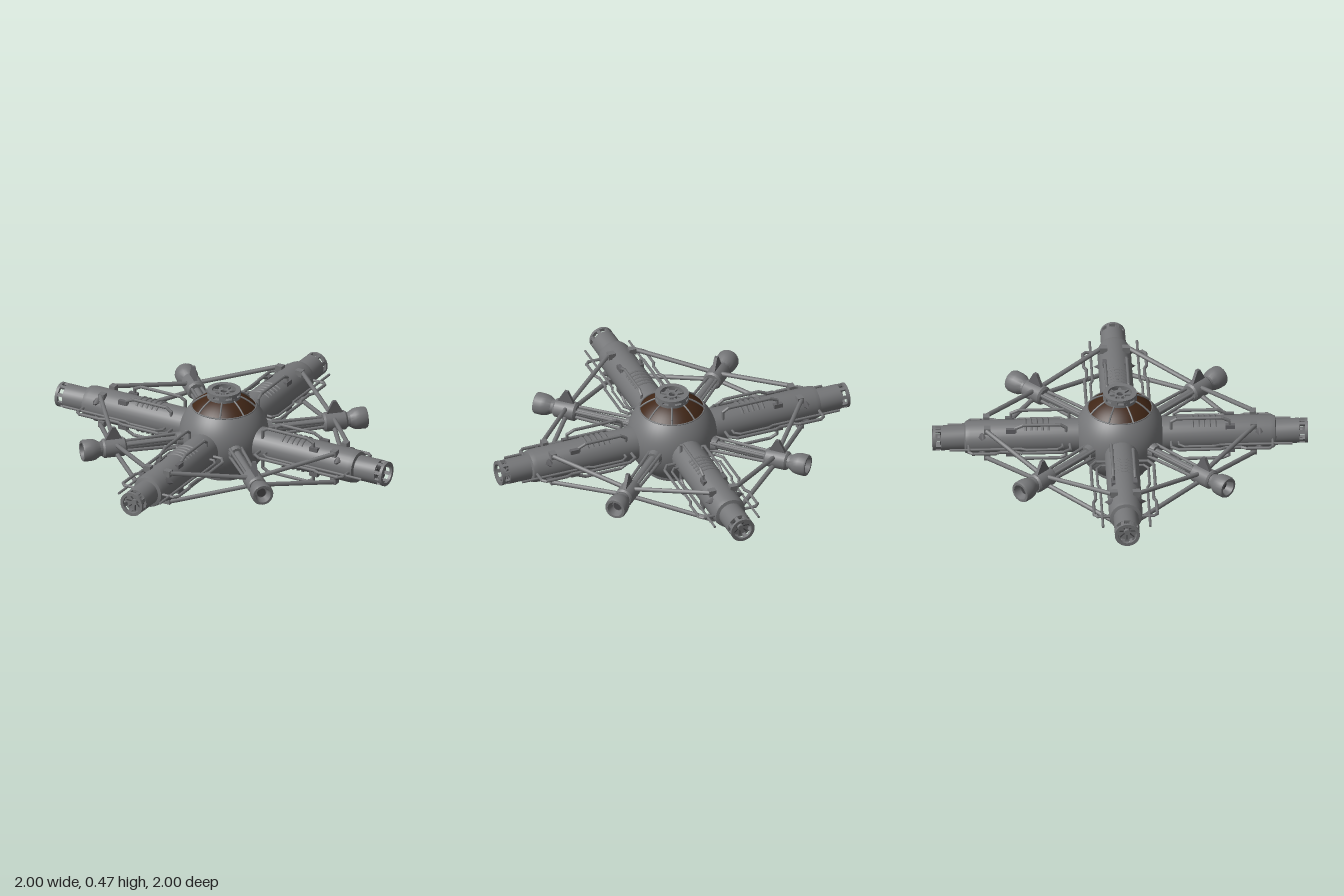
import * as THREE from 'three';
import { mergeGeometries, toCreasedNormals } from 'three/addons/utils/BufferGeometryUtils.js';

const hull = new THREE.MeshStandardMaterial({ color: 0x757678 });
hull.name = 'hull grey';
const trim = new THREE.MeshStandardMaterial({ color: 0x666669 });
trim.name = 'trim grey';
const dark = new THREE.MeshStandardMaterial({ color: 0x464648 });
dark.name = 'dark recess';
const glass = new THREE.MeshStandardMaterial({ color: 0x402616 });
glass.name = 'brown glass';

const CY = 0.21; // height of the arm axes
const R = 0.24; // hull radius

function add(parent, name, geo, mat, pos = [0, 0, 0], rot = [0, 0, 0]) {
  const m = new THREE.Mesh(geo, mat);
  m.name = name;
  m.position.set(...pos);
  m.rotation.set(...rot);
  parent.add(m);
  return m;
}

// Turned part around y; alongX lays it along +x
function lathe(points, seg = 32, alongX = false) {
  const g = new THREE.LatheGeometry(points.map(p => new THREE.Vector2(...p)), seg);
  if (alongX) g.rotateZ(-Math.PI / 2);
  return toCreasedNormals(g, 0.5);
}

function rod(a, b, r, sides = 6) {
  const A = new THREE.Vector3(...a), B = new THREE.Vector3(...b), d = B.clone().sub(A);
  const g = new THREE.CylinderGeometry(r, r, d.length() + r, sides);
  g.applyQuaternion(new THREE.Quaternion().setFromUnitVectors(new THREE.Vector3(0, 1, 0), d.normalize()));
  return g.translate(...A.add(B).multiplyScalar(0.5).toArray());
}

function pipe(points, r) {
  return mergeGeometries(points.slice(1).map((p, i) => rod(points[i], p, r)));
}

// Copies a geometry n times around an axis
function ring(geo, n, axis = 'Y', offset = 0) {
  return mergeGeometries(Array.from({ length: n }, (_, i) =>
    geo.clone()['rotate' + axis](offset + i / n * Math.PI * 2)));
}

function makeHull() {
  const g = new THREE.Group();
  g.name = 'centralHull';
  const cut = 0.8, low = 2.52;
  add(g, 'sphereShell', new THREE.SphereGeometry(R, 48, 28, 0, Math.PI * 2, cut, low - cut), hull, [0, 0.003, 0]);
  add(g, 'domeWindow', new THREE.SphereGeometry(R - 0.004, 48, 10, 0, Math.PI * 2, 0, cut + 0.02), glass, [0, 0.003, 0]);
  add(g, 'windowRim', new THREE.TorusGeometry(R * Math.sin(cut), 0.004, 6, 48), hull,
    [0, 0.003 + R * Math.cos(cut), 0], [Math.PI / 2, 0, 0]);
  // Window bars follow the dome
  const bar = pipe([0.36, 0.46, 0.57, 0.68, 0.8].map(t => [Math.sin(t) * R, Math.cos(t) * R + 0.003, 0]), 0.005);
  add(g, 'windowBars', ring(bar, 8, 'Y', Math.PI / 8), hull);

  // Docking collar on top: base, posts and an open ring
  add(g, 'collarBase', lathe([[0.09, 0.21], [0.09, 0.238], [0, 0.238]]), hull);
  add(g, 'collarPosts', ring(new THREE.BoxGeometry(0.024, 0.018, 0.034).translate(0.077, 0.245, 0), 8, 'Y', Math.PI / 8), hull);
  add(g, 'collarRing', lathe([[0.064, 0.25], [0.09, 0.25], [0.09, 0.264], [0.064, 0.264], [0.064, 0.25]]), hull);
  add(g, 'collarSpokes', ring(new THREE.BoxGeometry(0.045, 0.01, 0.008).translate(0.045, 0.247, 0), 8), hull);
  add(g, 'collarHub', lathe([[0.03, 0.236], [0.03, 0.254], [0.018, 0.254], [0.018, 0.244], [0, 0.244]], 20), hull);
  add(g, 'collarHole', new THREE.CylinderGeometry(0.016, 0.016, 0.004, 20), dark, [0, 0.245, 0]);

  // Vent underneath
  add(g, 'bottomRim', lathe([[0.112, -0.17], [0.118, -0.21], [0.138, -0.21], [0.142, -0.196], [0.142, -0.185], [0.13, -0.175]]), hull);
  add(g, 'ventFloor', new THREE.CylinderGeometry(0.125, 0.125, 0.01, 32), dark, [0, -0.185, 0]);
  add(g, 'ventBlades', ring(new THREE.BoxGeometry(0.09, 0.018, 0.008).rotateX(0.4).translate(0.078, -0.195, 0), 20), hull);
  add(g, 'ventHub', new THREE.CylinderGeometry(0.036, 0.028, 0.02, 20), hull, [0, -0.197, 0]);
  return g;
}

// Long docking arm along +x
function makeArm() {
  const g = new THREE.Group();
  g.name = 'dockingArm';
  add(g, 'armTube', lathe([[0.09, 0.2], [0.09, 0.8], [0.084, 0.825], [0.067, 0.83], [0.067, 0.955], [0, 0.955]], 28, true), hull);

  // Open slotted port at the tip
  add(g, 'portRing', lathe([[0.05, 0.984], [0.067, 0.984], [0.067, 1], [0.05, 1], [0.05, 0.984]], 28, true), hull);
  add(g, 'portPosts', ring(new THREE.BoxGeometry(0.04, 0.013, 0.018).translate(0.968, 0.059, 0), 8, 'X', Math.PI / 8), hull);
  add(g, 'portGrooves', ring(new THREE.BoxGeometry(0.004, 0.035, 0.006).translate(0.956, 0.035, 0), 8, 'X'), dark);
  add(g, 'portHub', new THREE.CylinderGeometry(0.016, 0.016, 0.02, 16).rotateZ(-Math.PI / 2), hull, [0.963, 0, 0]);

  // Curved ribs hugging the tube, above and below
  const rib = new THREE.TorusGeometry(0.088, 0.008, 6, 12, 1.4).rotateZ((Math.PI - 1.4) / 2).rotateY(Math.PI / 2);
  for (const flip of [0, Math.PI])
    for (let i = 0; i < 5; i++)
      add(g, 'rib', rib, hull, [0.385 + i * 0.03, 0, 0], [flip, 0, 0]);

  for (const sz of [1, -1]) {
    for (const sy of [1, -1]) {
      // Upright pipe loops over the tube, taller on one side
      const h = sz > 0 ? 0.126 : 0.104, e = sz > 0 ? 0.27 : 0.29, f = sz > 0 ? 0.58 : 0.56;
      add(g, 'pipeLoop', pipe([[e, sy * 0.06, sz * 0.058], [e, sy * (h - 0.018), sz * 0.058], [e + 0.03, sy * h, sz * 0.058],
        [f - 0.04, sy * h, sz * 0.058], [f, sy * (h - 0.018), sz * 0.058], [f, sy * 0.06, sz * 0.058]], 0.0085), hull);
      add(g, 'loopFoot', new THREE.BoxGeometry(0.05, 0.024, 0.022), trim, [0.585, sy * 0.072, sz * 0.058]);
      // Strut clamps
      add(g, 'strutClamp', new THREE.BoxGeometry(0.034, 0.034, 0.04), hull, [0.71, sy * 0.08, sz * 0.06]);
      add(g, 'clampFin', new THREE.ConeGeometry(0.026, 0.045, 4), trim, [0.738, sy * 0.045, sz * 0.09], [sz * 1.57, 0, 0]);
    }
    // Jogged pipes along the side; the inner one runs on as an antenna
    add(g, 'outerSidePipe', pipe([[0.27, 0, sz * 0.07], [0.27, 0, sz * 0.14], [0.31, 0, sz * 0.168],
      [0.53, 0, sz * 0.168], [0.56, 0, sz * 0.155], [0.64, 0, sz * 0.155], [0.67, 0, sz * 0.168],
      [0.79, 0, sz * 0.168], [0.81, 0, sz * 0.15], [0.81, 0, sz * 0.07]], 0.0085), hull);
    add(g, 'innerSidePipe', pipe([[0.31, 0, sz * 0.07], [0.31, 0, sz * 0.115], [0.34, 0, sz * 0.138],
      [0.5, 0, sz * 0.138], [0.53, 0, sz * 0.126], [0.91, 0, sz * 0.126]], 0.007), hull);
  }
  return g;
}

// Thruster boom along +x, turned onto a diagonal by its group
function makeBoom() {
  const g = new THREE.Group();
  g.name = 'thrusterBoom';
  add(g, 'boomRoot', new THREE.CylinderGeometry(0.036, 0.046, 0.05, 16).rotateZ(-Math.PI / 2), hull, [0.24, 0, 0]);
  add(g, 'boomCore', rod([0.2, 0, 0], [0.56, 0, 0], 0.022, 12), hull);
  for (const sz of [1, -1]) for (const sy of [1, -1])
    add(g, 'boomRail', rod([0.23, sy * 0.022, sz * 0.032], [0.56, sy * 0.016, sz * 0.026], 0.009), hull);
  add(g, 'thrusterHousing', lathe([[0, 0.545], [0.042, 0.545], [0.052, 0.555], [0.052, 0.665], [0.044, 0.675], [0, 0.675]], 16, true), hull);
  // Tapered fin standing on the housing
  const fin = new THREE.Shape([[0.56, 0.04], [0.66, 0.045], [0.62, 0.118], [0.6, 0.118]].map(p => new THREE.Vector2(...p)));
  add(g, 'housingFin', new THREE.ExtrudeGeometry(fin, { depth: 0.018, bevelEnabled: false }), trim, [0, 0, -0.009]);
  add(g, 'thrusterBell', lathe([[0.038, 0.665], [0.04, 0.69], [0.055, 0.715], [0.059, 0.74], [0.059, 0.775], [0.055, 0.785],
    [0.042, 0.785], [0.03, 0.745], [0, 0.745]], 24, true), hull);
  add(g, 'nozzleThroat', new THREE.CylinderGeometry(0.024, 0.024, 0.006, 20).rotateZ(-Math.PI / 2), dark, [0.747, 0, 0]);

  // Struts out to the clamps on the two neighbouring arms
  const c = Math.SQRT1_2, x = 0.71, z = 0.08;
  for (const sz of [1, -1]) for (const sy of [1, -1])
    add(g, 'braceStrut', rod([0.6, sy * 0.026, sz * 0.04], [(x + z) * c, sy * 0.082, sz * (x - z) * c], 0.0125, 8), hull);
  return g;
}

export function createModel() {
  const model = new THREE.Group();
  model.name = 'spaceStation';
  const body = new THREE.Group();
  body.name = 'stationBody';
  body.position.y = CY;
  model.add(body);
  body.add(makeHull());
  for (let i = 0; i < 4; i++) {
    const arm = makeArm(), boom = makeBoom();
    arm.rotation.y = i * Math.PI / 2;
    boom.rotation.y = (i + 0.5) * Math.PI / 2;
    body.add(arm, boom);
  }
  return model;
}
